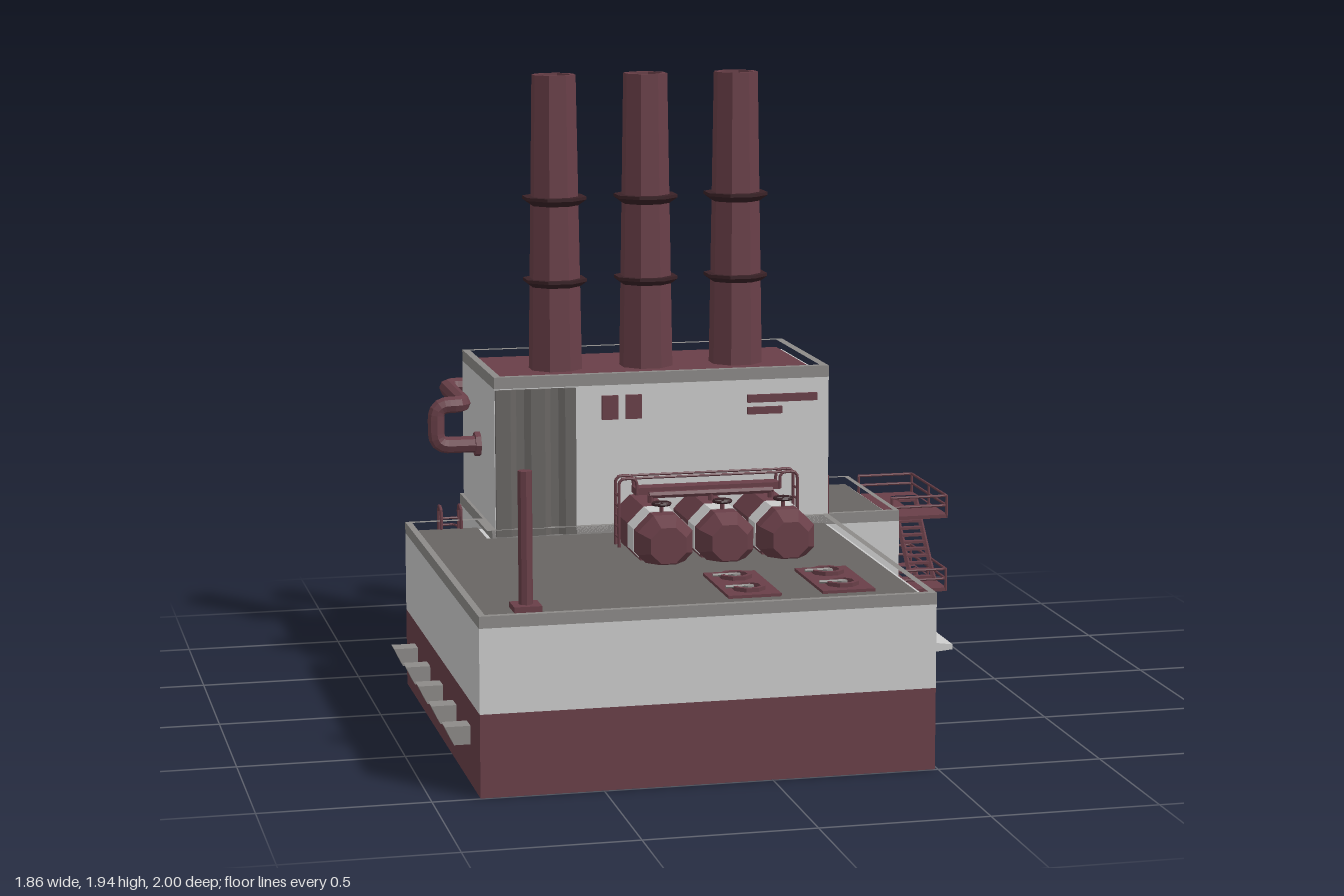
import * as THREE from 'three';

const mat = (color) => new THREE.MeshStandardMaterial({ color, flatShading: true });
const LIGHT = mat(0xcccccc), MID = mat(0x8c8a88), DARK = mat(0x686563), RED = mat(0x693f48), BLACK = mat(0x3a2227);

export function createModel() {
  const root = new THREE.Group();
  const group = (name) => {
    const g = new THREE.Group();
    g.name = name;
    root.add(g);
    return g;
  };
  const add = (name, geo, m, parent = root) => {
    const mesh = new THREE.Mesh(geo, m);
    mesh.name = name;
    parent.add(mesh);
    return mesh;
  };
  // box from its min and max on each axis
  const box = (name, m, x0, x1, y0, y1, z0, z1, parent) => {
    const b = add(name, new THREE.BoxGeometry(x1 - x0, y1 - y0, z1 - z0), m, parent);
    b.position.set((x0 + x1) / 2, (y0 + y1) / 2, (z0 + z1) / 2);
    return b;
  };
  // upright prism over a floor plan of [x, z] points
  const prism = (name, m, plan, y0, y1, hole) => {
    const pts = (list) => list.map(([x, z]) => new THREE.Vector2(x, -z));
    const s = new THREE.Shape(pts(plan));
    if (hole) s.holes.push(new THREE.Path(pts(hole)));
    const g = new THREE.ExtrudeGeometry(s, { depth: y1 - y0, bevelEnabled: false });
    g.rotateX(-Math.PI / 2);
    return add(name, g.translate(0, y0, 0), m);
  };
  // solid of an [x, y] profile stretched from z0 to z1
  const profile = (name, m, pts, z0, z1) => {
    const s = new THREE.Shape(pts.map(([x, y]) => new THREE.Vector2(x, y)));
    const g = new THREE.ExtrudeGeometry(s, { depth: z1 - z0, bevelEnabled: false });
    return add(name, g.translate(0, 0, z0), m);
  };
  // straight rod between two points
  const rod = (name, a, b, r, m = RED, parent, sides = 6) => {
    const A = new THREE.Vector3(...a), d = new THREE.Vector3(...b).sub(A);
    const mesh = add(name, new THREE.CylinderGeometry(r, r, d.length(), sides), m, parent);
    mesh.position.copy(A).addScaledVector(d, 0.5);
    mesh.quaternion.setFromUnitVectors(new THREE.Vector3(0, 1, 0), d.normalize());
    return mesh;
  };
  // pipe through points, with rounded corners
  const pipe = (name, pts, r, bend, segs, m = RED, parent) => {
    const P = pts.map((p) => new THREE.Vector3(...p)), path = new THREE.CurvePath();
    let last = P[0];
    for (let i = 1; i < P.length - 1; i++) {
      const a = P[i].clone().add(P[i - 1].clone().sub(P[i]).setLength(bend));
      const b = P[i].clone().add(P[i + 1].clone().sub(P[i]).setLength(bend));
      path.add(new THREE.LineCurve3(last, a));
      path.add(new THREE.QuadraticBezierCurve3(a, P[i], b));
      last = b;
    }
    path.add(new THREE.LineCurve3(last, P[P.length - 1]));
    return add(name, new THREE.TubeGeometry(path, segs, r, 8), m, parent);
  };
  // eight-sided turned solid with its flats facing the axes
  const octagon = (pts) => new THREE.LatheGeometry(
    pts.map(([r, y]) => new THREE.Vector2(r, y)), 8, Math.PI / 8);
  const rect = (x0, x1, z0, z1) => [[x0, z0], [x1, z0], [x1, z1], [x0, z1]];

  // Main hall: red base, recessed doors, pale upper wall, roof and parapet
  const hall = [[-0.86, -0.37], [-0.61, -0.37], [-0.61, -0.19], [0.49, -0.19], [0.49, 1], [-0.86, 1]];
  const hallIn = [[-0.84, -0.35], [-0.63, -0.35], [-0.63, -0.17], [0.47, -0.17], [0.47, 0.98], [-0.84, 0.98]];
  prism('hallFloor', RED, hall, 0, 0.004);
  box('hallBase', RED, -0.86, 0.45, 0.004, 0.245, -0.37, 1);
  box('hallWallStrip', LIGHT, -0.86, 0.45, 0.245, 0.285, -0.37, 1);
  for (const [z0, z1] of [[-0.25, -0.07], [0.325, 0.405], [0.805, 1]]) {
    box('pillar', RED, 0.45, 0.49, 0.004, 0.245, z0, z1);
    box('pillarTop', LIGHT, 0.45, 0.49, 0.245, 0.285, z0, z1);
  }
  prism('hallUpperWall', LIGHT, hall, 0.285, 0.495);
  prism('hallRoof', DARK, hallIn, 0.495, 0.505);
  prism('hallParapet', MID, hall, 0.495, 0.53, hallIn);

  // Garage doors with sloping canopies
  for (const [d0, d1, c0, c1] of [[-0.07, 0.325, -0.09, 0.325], [0.405, 0.805, 0.385, 0.81]]) {
    box('garageDoor', MID, 0.45, 0.455, 0.004, 0.275, d0, d1);
    box('doorHead', DARK, 0.45, 0.488, 0.275, 0.285, d0, d1);
    profile('canopy', LIGHT, [[0.49, 0.3], [0.6, 0.31], [0.6, 0.325], [0.49, 0.34]], c0, c1);
    const zm = (c0 + c1) / 2;
    rod('canopyBracket', [0.49, 0.285, zm], [0.55, 0.306, zm], 0.005);
  }

  // Rear block with terrace
  prism('rearFloor', RED, rect(-0.61, 0.73, -0.8, -0.19), 0, 0.004);
  box('rearBlock', LIGHT, -0.61, 0.73, 0.004, 0.495, -0.8, -0.19);
  box('terraceRoof', DARK, 0.47, 0.715, 0.495, 0.505, -0.785, -0.205);
  prism('rearParapet', MID, rect(-0.61, 0.73, -0.8, -0.19), 0.495, 0.53, rect(-0.59, 0.713, -0.783, -0.207));

  // Upper block
  const top = rect(-0.6, 0.49, -0.785, -0.19), topIn = rect(-0.577, 0.465, -0.763, -0.213);
  prism('upperBlock', LIGHT, top, 0.495, 0.978);
  prism('upperRoof', RED, topIn, 0.978, 0.99);
  prism('upperParapet', MID, top, 0.978, 1.015, topIn);
  box('terraceDoor', RED, 0.48, 0.494, 0.505, 0.655, -0.705, -0.192);
  for (const x of [-0.255, -0.178]) box('window', RED, x, x + 0.052, 0.868, 0.945, -0.192, -0.18);
  box('wallLouvre', RED, 0.22, 0.45, 0.905, 0.93, -0.192, -0.18);
  box('wallLouvre', RED, 0.22, 0.335, 0.867, 0.89, -0.192, -0.18);
  prism('ribbedPanel', DARK, [[-0.598, -0.2], [-0.598, -0.178], [-0.55, -0.178], [-0.53, -0.189], [-0.505, -0.189],
    [-0.485, -0.178], [-0.44, -0.178], [-0.42, -0.189], [-0.395, -0.189], [-0.375, -0.178], [-0.34, -0.178],
    [-0.34, -0.2]], 0.505, 0.975);
  box('rearFuseBox', RED, 0.02, 0.11, 0.695, 0.8, -0.84, -0.78);
  box('fuseBoxHood', RED, 0.015, 0.115, 0.8, 0.81, -0.848, -0.78);

  // Wall lamps
  for (const [y, z] of [[0.705, -0.365], [0.705, -0.635], [0.305, 0.365]]) {
    const lamp = add('wallLamp', new THREE.CylinderGeometry(0.014, 0.022, 0.022, 8), BLACK);
    lamp.position.set(0.508, y, z);
    box('lampArm', BLACK, 0.48, 0.512, y + 0.008, y + 0.016, z - 0.008, z + 0.008);
  }

  // Chimneys, open at the top
  for (const x of [-0.345, -0.045, 0.255]) {
    const c = group('chimney');
    c.position.set(x, 0, -0.49);
    add('stack', octagon([[0.088, 0.985], [0.072, 1.94], [0.056, 1.94], [0.056, 1.7], [0, 1.7]]), RED, c);
    for (const y of [1.27, 1.535]) {
      add('collar', octagon([[0.07, y - 0.02], [0.105, y + 0.005], [0.105, y + 0.015], [0.07, y + 0.015]]), BLACK, c);
    }
  }

  // Silos behind
  for (const x of [-0.393, -0.122]) {
    const s = group('silo');
    s.position.set(x, 0, -0.894);
    add('siloBody', octagon([[0, 0], [0.113, 0], [0.113, 0.595], [0.09, 0.632], [0.052, 0.648], [0.052, 0.662], [0, 0.662]]), MID, s);
    add('siloBand', octagon([[0.11, 0.45], [0.1155, 0.45], [0.1155, 0.487], [0.11, 0.487]]), RED, s);
  }

  // Large outside pipe
  pipe('outsidePipe', [[-0.6, 0.757, -0.46], [-0.742, 0.757, -0.46], [-0.742, 0.888, -0.46], [-0.65, 0.888, -0.46],
    [-0.65, 0.888, -0.828], [-0.28, 0.888, -0.828], [-0.28, 0.888, -0.77]], 0.027, 0.042, 72);
  rod('pipeFlange', [-0.6, 0.757, -0.46], [-0.618, 0.757, -0.46], 0.04, RED, root, 8);
  rod('pipeFlange', [-0.28, 0.888, -0.78], [-0.28, 0.888, -0.795], 0.038, RED, root, 8);

  // Storage tanks on the hall roof
  for (const x of [-0.16, 0.032, 0.225]) {
    const t = group('tank');
    t.position.set(x, 0.565, 0);
    const lying = (name, pts, m) => add(name, octagon(pts).rotateX(Math.PI / 2), m, t);
    lying('tankBody', [[0, -0.1], [0.045, -0.1], [0.093, -0.05], [0.093, 0.295], [0.06, 0.345], [0, 0.345]], RED);
    lying('tankBand', [[0.09, 0.157], [0.095, 0.157], [0.095, 0.243], [0.09, 0.243]], LIGHT);
    rod('outletPipe', [0, 0, -0.09], [0, 0, -0.2], 0.016, RED, t, 8);
    rod('outletFlange', [0, 0, -0.1], [0, 0, -0.115], 0.026, RED, t, 8);
    box('saddle', RED, -0.07, 0.07, -0.06, -0.04, -0.02, 0.26, t);
    rod('valveStem', [0, 0.08, 0.245], [0, 0.112, 0.245], 0.007, RED, t);
    const wheel = add('valveWheel', new THREE.TorusGeometry(0.027, 0.005, 5, 10).rotateX(Math.PI / 2), BLACK, t);
    wheel.position.set(0, 0.112, 0.245);
    rod('wheelSpoke', [-0.027, 0.112, 0.245], [0.027, 0.112, 0.245], 0.004, BLACK, t);
    rod('wheelSpoke', [0, 0.112, 0.218], [0, 0.112, 0.272], 0.004, BLACK, t);
    rod('ventStub', [0, 0.08, 0.095], [0, 0.11, 0.095], 0.01, RED, t);
  }
  rod('ventPipe', [-0.165, 0.675, 0.095], [0.23, 0.675, 0.095], 0.011);

  // Walkway over the tanks with ladders at both ends
  box('walkway', RED, -0.2, 0.265, 0.668, 0.69, 0, 0.055);
  for (const z of [0.002, 0.054]) {
    rod('walkwayRail', [-0.2, 0.722, z], [0.27, 0.722, z], 0.004);
    for (const [a, b] of [[-0.252, -0.195], [0.322, 0.265]]) {
      pipe('ladderRail', [[a, 0.5, z], [a, 0.722, z], [b, 0.722, z], [b, 0.67, z]], 0.005, 0.02, 24);
    }
  }
  for (const x of [-0.252, 0.322]) {
    for (let i = 0; i < 5; i++) rod('rung', [x, 0.535 + i * 0.033, 0.002], [x, 0.535 + i * 0.033, 0.054], 0.004);
  }

  // Roof fan units
  for (const x of [-0.013, 0.272]) {
    box('fanBase', RED, x - 0.08, x + 0.08, 0.5, 0.514, 0.512, 0.835);
    for (const z of [0.595, 0.757]) {
      const f = group('fan');
      f.position.set(x, 0, z);
      add('fanRing', octagon([[0.05, 0.514], [0.05, 0.526], [0.036, 0.526], [0.036, 0.514]]), RED, f);
      add('fanHub', octagon([[0.016, 0.514], [0.016, 0.526], [0, 0.526]]), MID, f);
      rod('fanArm', [0, 0.524, 0], [-0.07, 0.524, 0], 0.005, MID, f);
    }
  }

  // Thin roof stack
  box('roofStackBase', RED, -0.735, -0.653, 0.5, 0.522, 0.792, 0.874);
  rod('roofStack', [-0.694, 0.52, 0.833], [-0.694, 0.912, 0.833], 0.021, RED, root, 8);

  // Vent hoods along the left wall
  for (let i = 0; i < 5; i++) {
    const z = -0.167 + i * 0.244;
    profile('ventHood', MID, [[-0.855, 0.172], [-0.935, 0.172], [-0.908, 0.117], [-0.855, 0.117]], z - 0.031, z + 0.031);
  }

  // Wall ladder at the back of the hall
  for (const x of [-0.747, -0.683]) {
    pipe('wallLadderRail', [[x, 0.02, -0.4], [x, 0.575, -0.4], [x, 0.575, -0.345], [x, 0.5, -0.345]], 0.005, 0.02, 30);
  }
  for (let i = 0; i < 13; i++) rod('wallLadderRung', [-0.747, 0.05 + i * 0.04, -0.4], [-0.683, 0.05 + i * 0.04, -0.4], 0.004);
  for (const y of [0.26, 0.34, 0.42, 0.5]) {
    pipe('ladderHoop', [[-0.747, y, -0.4], [-0.742, y, -0.442], [-0.688, y, -0.442], [-0.683, y, -0.4]], 0.004, 0.015, 14);
  }

  // Outside stairs: two landings with railings and two flights
  for (const y of [0.242, 0.488]) {
    prism('landing', RED, rect(0.73, 0.925, -0.69, -0.287), y - 0.012, y, rect(0.83, 0.918, -0.63, -0.465));
    for (const h of [0.03, 0.062]) {
      const r = y + h;
      pipe('railing', [[0.732, r, -0.29], [0.922, r, -0.29], [0.922, r, -0.687], [0.732, r, -0.687]], 0.0045, 0.004, 48);
    }
    for (const [x, z] of [[0.735, -0.29], [0.922, -0.29], [0.922, -0.49], [0.922, -0.687], [0.735, -0.687]]) {
      rod('railPost', [x, y - 0.01, z], [x, y + 0.064, z], 0.0045);
    }
    const y0 = y - 0.242;
    for (const x of [0.835, 0.913]) rod('stringer', [x, y0 + 0.005, -0.395], [x, y - 0.004, -0.615], 0.009, RED, root, 4);
    for (let i = 0; i < 12; i++) {
      const t = (i + 0.5) / 12, z = -0.395 - 0.22 * t, ys = y0 + 0.24 * t;
      box('tread', RED, 0.835, 0.913, ys - 0.004, ys + 0.004, z - 0.011, z + 0.011);
    }
  }
  return root;
}
